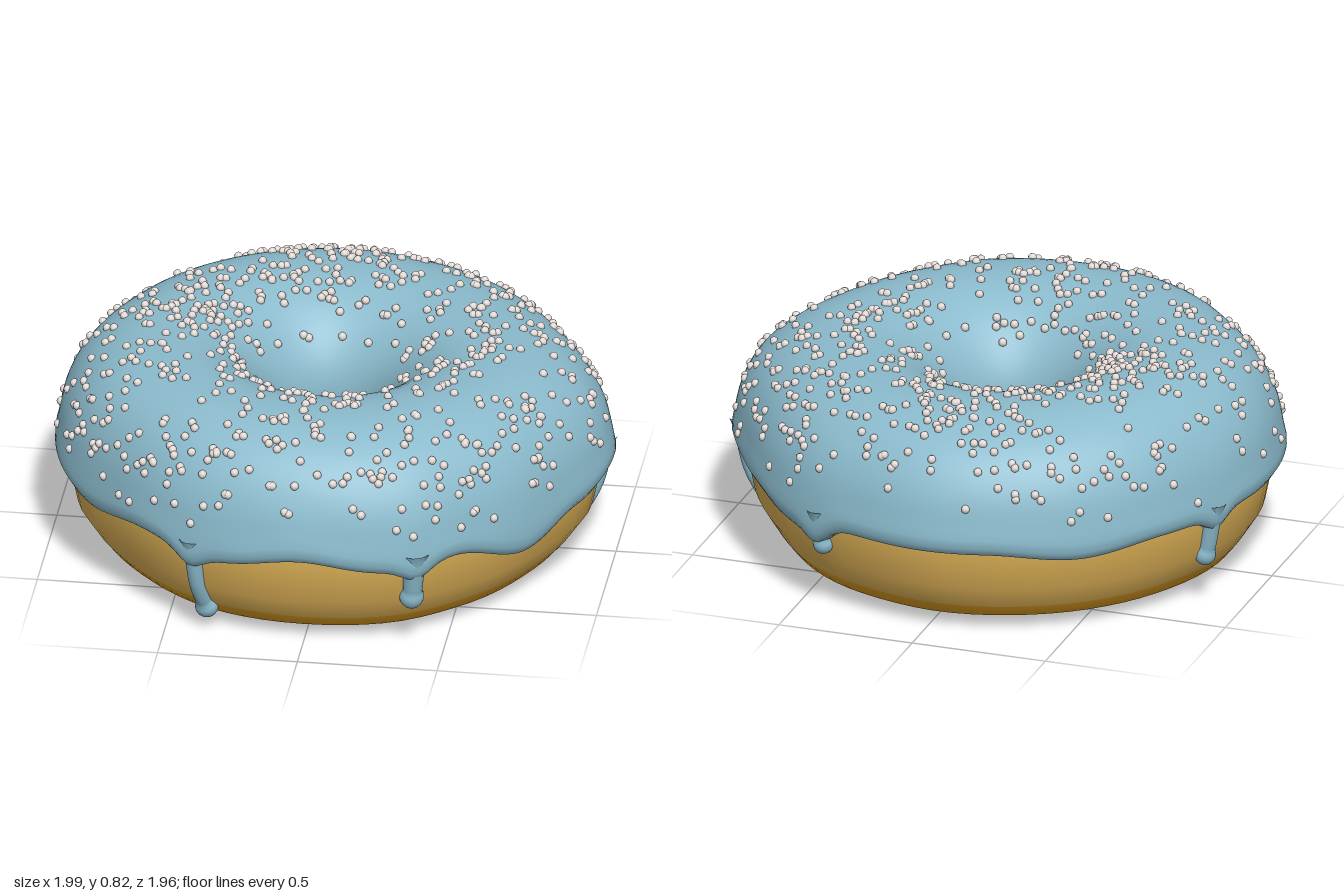
import * as THREE from 'three';
import { mergeGeometries } from 'three/addons/utils/BufferGeometryUtils.js';

const RAD = Math.PI / 180;
const clamp = THREE.MathUtils.clamp;
const mat = (name, color) => Object.assign(new THREE.MeshStandardMaterial({ color }), { name });

// Angles run in degrees from the front (0) towards +x (90).
// Smooth periodic lookup in a table of [angle, value]
function around(table, deg) {
  const a = ((deg + 180) % 360 + 360) % 360 - 180;
  const n = table.length;
  let i = table.findIndex(p => p[0] > a);
  if (i < 0) i = n;
  const p = i === 0 ? [table[n - 1][0] - 360, table[n - 1][1]] : table[i - 1];
  const q = i === n ? [table[0][0] + 360, table[0][1]] : table[i];
  const t = (a - p[0]) / (q[0] - p[0]);
  return p[1] + (q[1] - p[1]) * t * t * (3 - 2 * t);
}

// Slightly uneven outline, and height of the icing hem
const outline = [[-175, 0.99], [-153, 0.985], [-120, 0.98], [-90, 1], [-73, 1], [-48, 0.97], [-24, 0.985],
  [0, 0.98], [22, 0.99], [42, 0.965], [62, 0.96], [88, 1], [123, 0.945], [160, 0.965]];
const hem = [[-165, 0.35], [-145, 0.32], [-125, 0.35], [-100, 0.36], [-75, 0.36], [-57, 0.33], [-38, 0.37], [-18, 0.34],
  [0, 0.38], [18, 0.34], [34, 0.36], [53, 0.28], [72, 0.34], [88, 0.37], [108, 0.37], [128, 0.35], [147, 0.31], [165, 0.35]];

// Drips: angle, end point along the side, neck radius, bulb radius
const drips = [[-24.5, 0.66, 0.028, 0.043], [25, 0.43, 0.034, 0.044], [98, 0.88, 0.03, 0.044],
  [154, 0.33, 0.03, 0.038], [-110, 0.45, 0.03, 0.04]];

// Maps profile radius and height at an angle to a point on the uneven ring
function place(r, y, deg) {
  const t = clamp((r - 0.2) / 0.8, 0, 1);
  const rr = r * (1 + (around(outline, deg) - 1) * t);
  const x = rr * Math.sin(deg * RAD) - 0.03 * (1 - t);
  const z = rr * Math.cos(deg * RAD);
  const lean = 0.018 * (z - x) * clamp((y - 0.4) / 0.35, 0, 1);
  return new THREE.Vector3(x, y + lean, z);
}

// Surface from rows of closed loops; wrap also joins the last row to the first
function lattice(rows, cols, point, wrap = false) {
  const pos = [], index = [];
  for (let i = 0; i < rows; i++)
    for (let j = 0; j < cols; j++) pos.push(...point(i, j).toArray());
  for (let i = 0; i < (wrap ? rows : rows - 1); i++) {
    for (let j = 0; j < cols; j++) {
      const i2 = (i + 1) % rows, j2 = (j + 1) % cols;
      const a = i * cols + j, b = i * cols + j2, c = i2 * cols + j, d = i2 * cols + j2;
      index.push(a, b, c, b, d, c);
    }
  }
  const g = new THREE.BufferGeometry();
  g.setAttribute('position', new THREE.Float32BufferAttribute(pos, 3));
  g.setIndex(index);
  g.computeVertexNormals();
  return g;
}

// Icing section: hem lip, outer side, crown, then down into the hole
function icingCurve(deg) {
  let e = around(hem, deg);
  for (const d of drips) {
    const off = ((deg - d[0] + 540) % 360) - 180;
    e -= 0.05 * Math.exp(-((off / 4.2) ** 2));
  }
  const pts = [[0.925, e + 0.015], [0.955, e - 0.01], [0.985, e], [0.998, e + 0.03], [0.988, Math.max(e + 0.08, 0.44)],
    [0.962, 0.55], [0.91, 0.645], [0.83, 0.72], [0.72, 0.77], [0.6, 0.787], [0.48, 0.775],
    [0.38, 0.735], [0.285, 0.655], [0.225, 0.56], [0.2, 0.46], [0.205, 0.39], [0.225, 0.38]];
  return new THREE.CatmullRomCurve3(pts.map(p => new THREE.Vector3(p[0], p[1], 0)));
}

function icingGeometry() {
  const rows = 44, cols = 200;
  const curves = Array.from({ length: cols }, (_, j) => icingCurve(j * 360 / cols));
  return lattice(rows, cols, (i, j) => {
    const p = curves[j].getPointAt(i / (rows - 1));
    return place(p.x, p.y, j * 360 / cols);
  });
}

// Dough section: pale side first, then under the icing, the hole and the base
function doughGeometry() {
  const prof = [[0.86, 0.1], [0.92, 0.19], [0.95, 0.33], [0.945, 0.42], [0.92, 0.54], [0.86, 0.63], [0.74, 0.72],
    [0.6, 0.75], [0.46, 0.73], [0.34, 0.65], [0.27, 0.56], [0.225, 0.46], [0.215, 0.37], [0.235, 0.26],
    [0.275, 0.17], [0.33, 0.095], [0.4, 0.045], [0.49, 0.012], [0.6, 0], [0.66, 0.006], [0.82, 0.052]];
  const cols = 72, pale = 4;
  const g = lattice(prof.length, cols, (i, j) => place(prof[i][0], prof[i][1], j * 360 / cols), true);
  g.addGroup(0, pale * cols * 6, 0);
  g.addGroup(pale * cols * 6, (prof.length - pale) * cols * 6, 1);
  return g;
}

// Drip that runs down the dough and ends in a round bead
function dripGeometry([deg, end, neck, bulb]) {
  const side = new THREE.CatmullRomCurve3([[0.955, 0.42], [0.952, 0.33], [0.922, 0.19], [0.825, 0.055], [0.7, 0.03], [0.62, 0.03]]
    .map(p => new THREE.Vector3(p[0], p[1], 0)));
  const full = side.getLength(), start = 0.04, length = (end - start) * full;
  const rows = 30, cols = 16;
  const across = new THREE.Vector3(Math.cos(deg * RAD), 0, -Math.sin(deg * RAD));
  return lattice(rows, cols, (i, j) => {
    const s = length * Math.sin(i / (rows - 1) * Math.PI / 2);
    const u = start + s / full;
    const p = side.getPointAt(u), t = side.getTangentAt(u);
    const out = new THREE.Vector3(-t.y * Math.sin(deg * RAD), t.x, -t.y * Math.cos(deg * RAD));
    const fromBead = s - (length - bulb);
    const bead = Math.sqrt(Math.max(0, bulb * bulb - fromBead * fromBead));
    const stem = fromBead > 0 ? 0 : neck + 0.025 * Math.exp(-s / 0.05);
    const r = Math.max(bead, stem);
    const a = -j / cols * Math.PI * 2;
    const v = place(p.x, p.y, deg).addScaledVector(across, r * Math.sin(a)).addScaledVector(out, r * Math.cos(a));
    v.y = Math.max(v.y, 0);
    return v;
  });
}

// Small round sprinkles scattered in loose clumps over the crown
function sprinkleGeometry(count) {
  let seed = 7;
  const rnd = () => (seed = (seed * 16807) % 2147483647) / 2147483647;
  const bead = new THREE.SphereGeometry(0.0155, 8, 6);
  const list = [];
  while (list.length < count) {
    const deg = rnd() * 360, u = 0.1 + rnd() * 0.75;
    const p = icingCurve(deg).getPointAt(u);
    const v = place(p.x, p.y, deg);
    const low = p.x > 0.6 ? clamp((p.y - 0.42) / 0.22, 0, 1) : clamp((p.x - 0.24) / 0.08, 0, 1);
    const clump = 0.65 + 0.35 * Math.sin(7 * v.x + 2) * Math.sin(6 * v.z - 1);
    if (rnd() < p.x * low * clump) list.push(bead.clone().translate(v.x, v.y + 0.003, v.z));
  }
  return mergeGeometries(list);
}

export function createModel() {
  const paleDough = mat('paleDough', 0xdcb056);
  const goldenDough = mat('goldenDough', 0xdd9c20);
  const icingBlue = mat('icingBlue', 0x8abacc);
  const sprinkleWhite = mat('sprinkleWhite', 0xe4dbd7);

  const model = new THREE.Group();
  model.name = 'ringDoughnut';
  const add = (name, geometry, material) => {
    const mesh = new THREE.Mesh(geometry, material);
    mesh.name = name;
    model.add(mesh);
  };
  add('dough', doughGeometry(), [paleDough, goldenDough]);
  add('icing', icingGeometry(), icingBlue);
  drips.forEach((d, i) => add('icingDrip' + (i + 1), dripGeometry(d), icingBlue));
  add('sprinkles', sprinkleGeometry(780), sprinkleWhite);
  return model;
}
